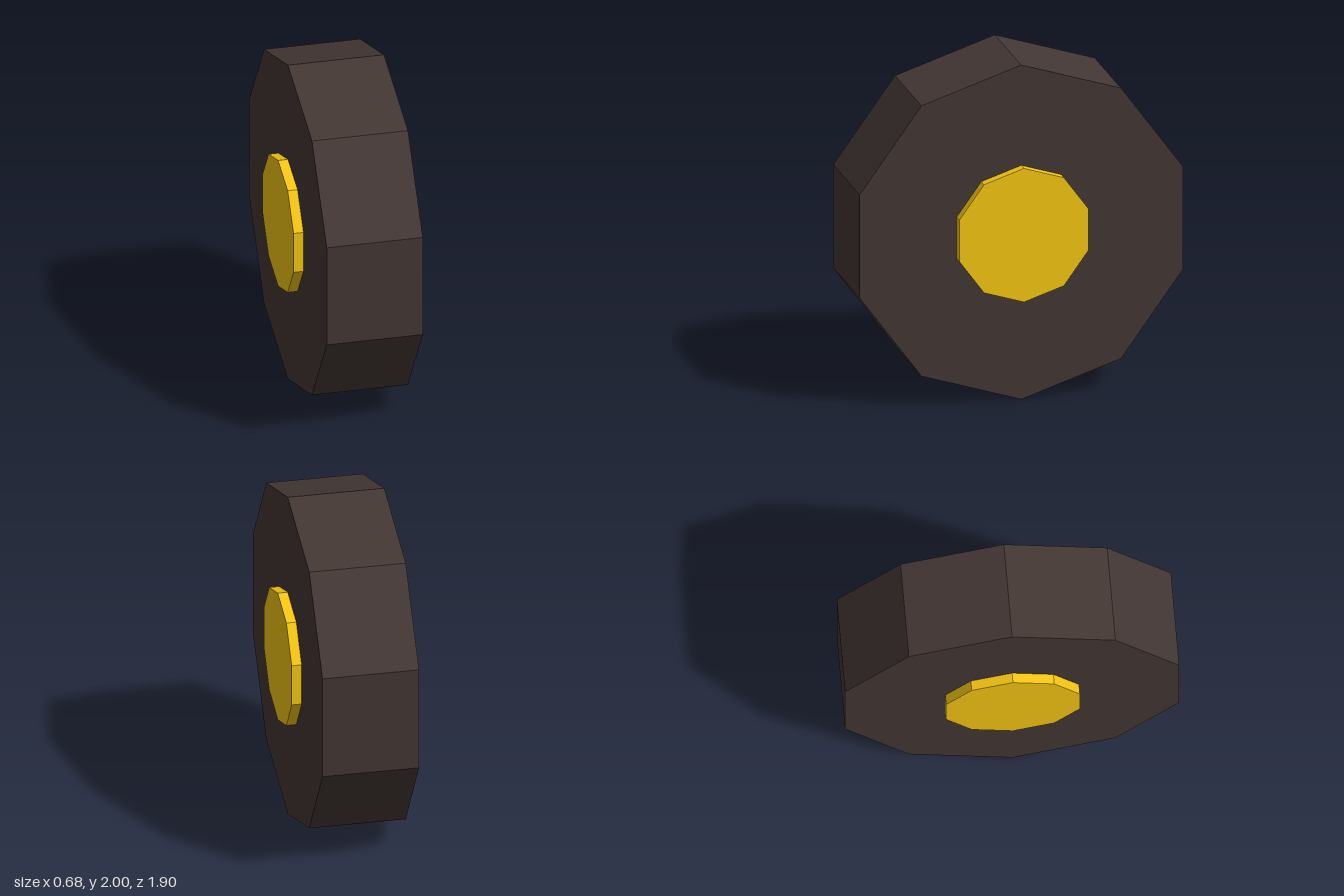
import * as THREE from 'three';

const SIDES = 10;

// Ten-sided disc lying along x, with a corner pointing straight up
function disc(name, radius, width, color) {
  const geometry = new THREE.CylinderGeometry(radius, radius, width, SIDES, 1, false, Math.PI / 2);
  geometry.rotateZ(Math.PI / 2);
  const material = new THREE.MeshStandardMaterial({ color, flatShading: true });
  const mesh = new THREE.Mesh(geometry, material);
  mesh.name = name;
  mesh.position.y = 1;
  return mesh;
}

export function createModel() {
  const wheel = new THREE.Group();
  wheel.name = 'wheel';
  // Wide dark tyre, and a hub that stands slightly proud on both sides
  wheel.add(disc('tyre', 1, 0.56, 0x433734));
  wheel.add(disc('hub', 0.4, 0.675, 0xf5c611));
  return wheel;
}
